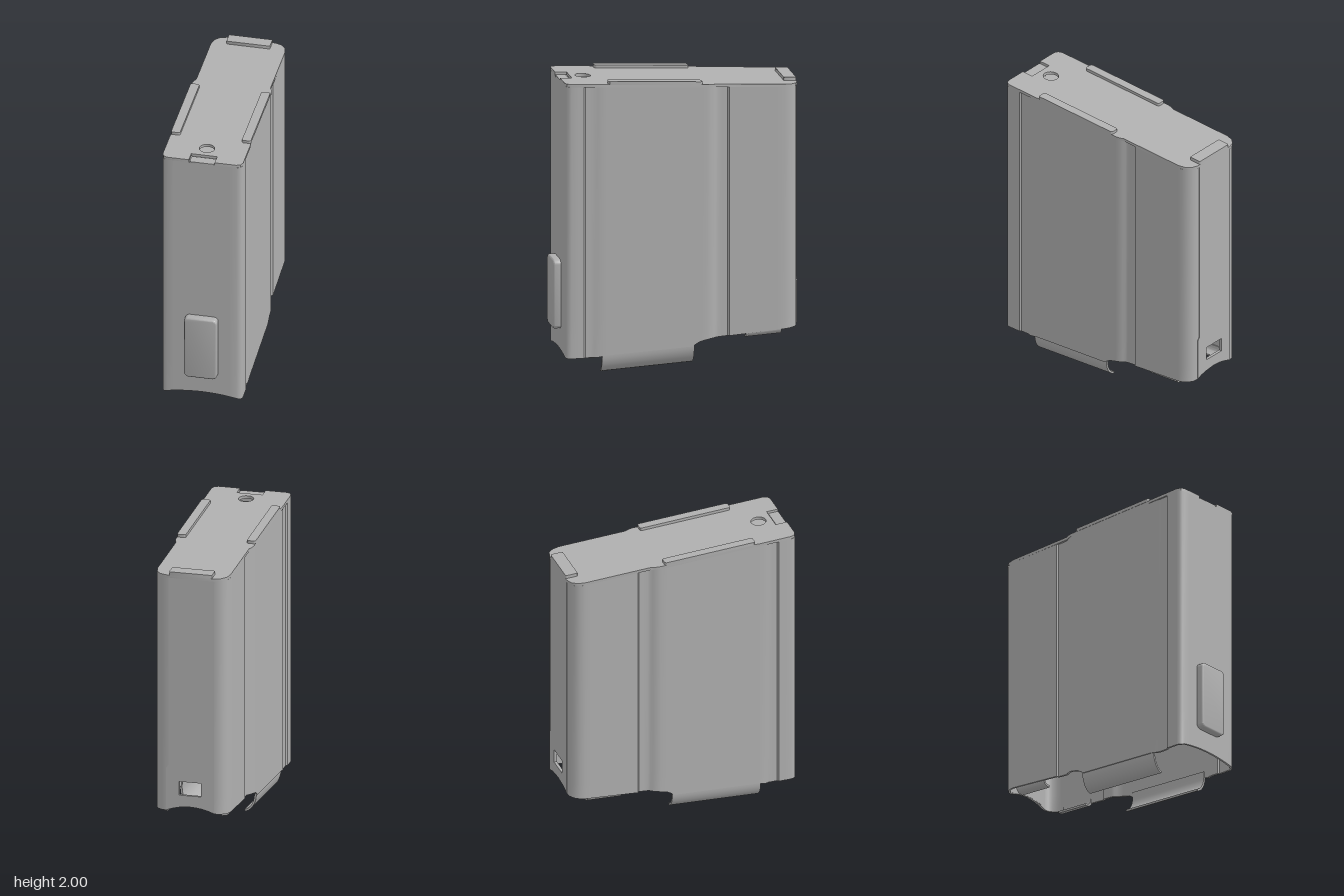
import * as THREE from 'three';
import { toCreasedNormals } from 'three/addons/utils/BufferGeometryUtils.js';

const WALL = 0.014;
const lidTop = (z) => 1.96 + 0.05 * z;

// Height of the lower rim: ramps along the sides, arches at the front and back
function rimY(x, z) {
  if (z > 0.765) return 0.12 + 0.03 * (1 - (x / 0.27) ** 2);
  const pts = [[0.55, 0.12], [0.5, 0.13], [-0.1, 0.165], [-0.14, 0.195], [-0.2, 0.21], [-0.82, 0.26]];
  let y = 0.12;
  for (let i = 0; i < pts.length - 1; i++) {
    const [z0, y0] = pts[i], [z1, y1] = pts[i + 1];
    if (z <= z0 && z >= z1) y = y0 + (y1 - y0) * (z0 - z) / (z0 - z1);
  }
  if (z < -0.8) y += 0.035 * Math.max(0, 1 - (x / 0.17) ** 2);
  return y;
}

// Mirror a half outline (front centre to back centre) into a closed loop
function mirrorLoop(half) {
  return [...half, ...half.slice(1, -1).reverse().map(([x, z]) => [-x, z])];
}

function subdivide(points, step) {
  const out = [];
  points.forEach(([x, z], i) => {
    out.push([x, z]);
    if (i === points.length - 1) return;
    const [x1, z1] = points[i + 1];
    const n = Math.ceil(Math.hypot(x1 - x, z1 - z) / step);
    for (let k = 1; k < n; k++) out.push([x + (x1 - x) * k / n, z + (z1 - z) * k / n]);
  });
  return out;
}

// Thin-walled sleeve with pressed grooves and a rear window
function sleeveGeometry() {
  const loop = mirrorLoop(subdivide([
    [0, 0.77], [0.235, 0.77], [0.255, 0.764], [0.268, 0.75], [0.273, 0.73],
    [0.273, 0.645], [0.262, 0.635], [0.262, 0.575], [0.269, 0.55], [0.269, -0.19],
    [0.264, -0.215], [0.253, -0.24], [0.243, -0.255], [0.238, -0.27],
    [0.238, -0.335], [0.25, -0.345], [0.252, -0.72], [0.245, -0.755], [0.226, -0.787],
    [0.197, -0.808], [0.165, -0.815], [0.075, -0.815], [0, -0.815],
  ], 0.05));
  const n = loop.length;
  const inner = loop.map(([x, z], i) => {
    const a = loop[(i + n - 1) % n], b = loop[(i + 1) % n];
    const dx = b[0] - a[0], dz = b[1] - a[1], l = Math.hypot(dx, dz);
    return [x + dz / l * WALL, z - dx / l * WALL];
  });
  const column = (p, o) => [rimY(o[0], o[1]), 0.375, 0.47, lidTop(o[1]) - 0.02]
    .map((y) => [p[0], y, p[1]]);
  const pos = [];
  const quad = (a, b, c, d) => pos.push(...a, ...b, ...c, ...a, ...c, ...d);
  for (let i = 0; i < n; i++) {
    const j = (i + 1) % n, p = loop[i], q = loop[j];
    const po = column(p, p), qo = column(q, q), pi = column(inner[i], p), qi = column(inner[j], q);
    for (let r = 0; r < 3; r++) {
      const window = r === 1 && p[1] < -0.81 && Math.max(Math.abs(p[0]), Math.abs(q[0])) < 0.076;
      if (window) continue;
      quad(po[r], qo[r], qo[r + 1], po[r + 1]);
      quad(qi[r], pi[r], pi[r + 1], qi[r + 1]);
    }
    quad(po[0], pi[0], qi[0], qo[0]);
    quad(pi[3], po[3], qo[3], qi[3]);
  }
  const geo = new THREE.BufferGeometry();
  geo.setAttribute('position', new THREE.Float32BufferAttribute(pos, 3));
  return toCreasedNormals(geo, 0.6);
}

// Shift each vertex vertically according to its z
function shear(geo, offset) {
  const p = geo.attributes.position;
  for (let i = 0; i < p.count; i++) p.setY(i, p.getY(i) + offset(p.getZ(i)));
  geo.computeVertexNormals();
  return toCreasedNormals(geo, 0.6);
}

const shapeOf = (pts) => new THREE.Shape(pts.map(([x, y]) => new THREE.Vector2(x, y)));

function roundedRect(x0, y0, x1, y1, r) {
  const s = new THREE.Shape();
  s.absarc(x1 - r, y0 + r, r, -Math.PI / 2, 0);
  s.absarc(x1 - r, y1 - r, r, 0, Math.PI / 2);
  s.absarc(x0 + r, y1 - r, r, Math.PI / 2, Math.PI);
  s.absarc(x0 + r, y0 + r, r, Math.PI, Math.PI * 1.5);
  s.closePath();
  return s;
}

// Flat sheet lying on the sloping top; shape y is -z
function topSheet(shape, thickness, lift) {
  const geo = new THREE.ExtrudeGeometry(shape, { depth: thickness, bevelEnabled: false, curveSegments: 8 });
  geo.rotateX(-Math.PI / 2);
  return shear(geo, (z) => lidTop(z) + lift);
}

// Curved strip swept along z, following the slope of the rim
function lipGeometry(curve, thickness, zFront, zBack, slope) {
  const pts = curve.getPoints(12), out = [], inn = [];
  pts.forEach((p, i) => {
    const t = curve.getTangent(i / 12);
    out.push([p.x, p.y]);
    inn.unshift([p.x + t.y * thickness, p.y - t.x * thickness]);
  });
  const geo = new THREE.ExtrudeGeometry(shapeOf([...out, ...inn]), { depth: zFront - zBack, bevelEnabled: false });
  geo.translate(0, 0, zBack);
  return shear(geo, (z) => (zFront - z) * slope);
}

export function createModel() {
  const group = new THREE.Group();
  const steel = new THREE.MeshStandardMaterial({ color: 0xb0b0b0, side: THREE.DoubleSide });
  steel.name = 'greySteel';
  const add = (name, geo) => {
    const mesh = new THREE.Mesh(geo, steel);
    mesh.name = name;
    group.add(mesh);
    return mesh;
  };

  add('sleeve', sleeveGeometry());

  // Top plate with a front notch and a round hole
  const lid = shapeOf(mirrorLoop([
    [0, 0.69], [0.088, 0.69], [0.088, 0.77], [0.235, 0.77], [0.262, 0.758], [0.273, 0.73],
    [0.273, 0.5], [0.269, 0.48], [0.269, -0.2], [0.262, -0.23], [0.252, -0.25],
    [0.252, -0.72], [0.24, -0.77], [0.21, -0.805], [0.165, -0.82], [0, -0.82],
  ]).map(([x, z]) => [x, -z]));
  lid.holes.push(new THREE.Path().absarc(0, -0.6, 0.052, 0, Math.PI * 2, true));
  add('topPlate', topSheet(lid, 0.02, -0.02));
  add('innerPlate', topSheet(roundedRect(-0.1, -0.68, 0.1, -0.5, 0.02), 0.01, -0.06));
  add('frontTab', topSheet(roundedRect(-0.083, -0.77, 0.083, -0.7, 0.008), 0.014, -0.028));
  add('backTab', topSheet(roundedRect(-0.15, 0.735, 0.145, 0.82, 0.008), 0.025, -0.002));

  // Folded side tabs, feed lips and small rear lips, mirrored
  const lip = new THREE.CatmullRomCurve3([[0.262, 0.17], [0.262, 0.12], [0.256, 0.085], [0.238, 0.045],
    [0.212, 0.018], [0.185, 0.006]].map(([x, y]) => new THREE.Vector3(x, y, 0)));
  const rearLip = new THREE.CatmullRomCurve3([[0.245, 0.26], [0.241, 0.225], [0.222, 0.205],
    [0.185, 0.198]].map(([x, y]) => new THREE.Vector3(x, y, 0)));
  for (const [side, s] of [['right', 1], ['left', -1]]) {
    const tab = s > 0 ? roundedRect(0.21, -0.478, 0.271, 0.16, 0.015) : roundedRect(-0.271, -0.478, -0.21, 0.16, 0.015);
    add(side === 'right' ? 'sideTabA' : 'sideTabB', topSheet(tab, 0.022, -0.002));
    const mirror = (geo) => {
      if (s > 0) return geo;
      geo.scale(-1, 1, 1);
      const p = geo.attributes.position.array, m = geo.attributes.normal.array;
      // Swap two corners of each triangle to restore the winding
      for (const a of [p, m]) for (let i = 0; i < a.length; i += 9) {
        for (let k = 0; k < 3; k++) [a[i + 3 + k], a[i + 6 + k]] = [a[i + 6 + k], a[i + 3 + k]];
      }
      return geo;
    };
    add(s > 0 ? 'feedLipA' : 'feedLipB', mirror(lipGeometry(lip, 0.014, 0.52, -0.105, 0.06)));
    add(s > 0 ? 'rearLipA' : 'rearLipB', mirror(lipGeometry(rearLip, 0.014, -0.46, -0.7, 0.06)));
  }

  // Overlapping rear seam plate with a window
  const seam = shapeOf([[-0.165, 0.27], [-0.1, 0.29], [0, 0.3], [0.1, 0.29], [0.165, 0.27],
    [0.165, 0.56], [0.15, 0.58], [0.15, 1.9], [-0.165, 1.9]]);
  seam.holes.push(new THREE.Path([[-0.075, 0.375], [-0.075, 0.47], [0.075, 0.47], [0.075, 0.375]]
    .map(([x, y]) => new THREE.Vector2(x, y))));
  const seamGeo = new THREE.ExtrudeGeometry(seam, { depth: 0.02, bevelEnabled: false });
  add('rearSeamPlate', seamGeo).position.z = -0.82;

  // Raised catch block on the front
  const block = new THREE.ExtrudeGeometry(roundedRect(-0.1, 0.3, 0.1, 0.748, 0.02),
    { depth: 0.048, bevelThickness: 0.012, bevelSize: 0.012, bevelSegments: 3, curveSegments: 6 });
  add('frontBlock', toCreasedNormals(block, 0.6)).position.z = 0.76;

  return group;
}
